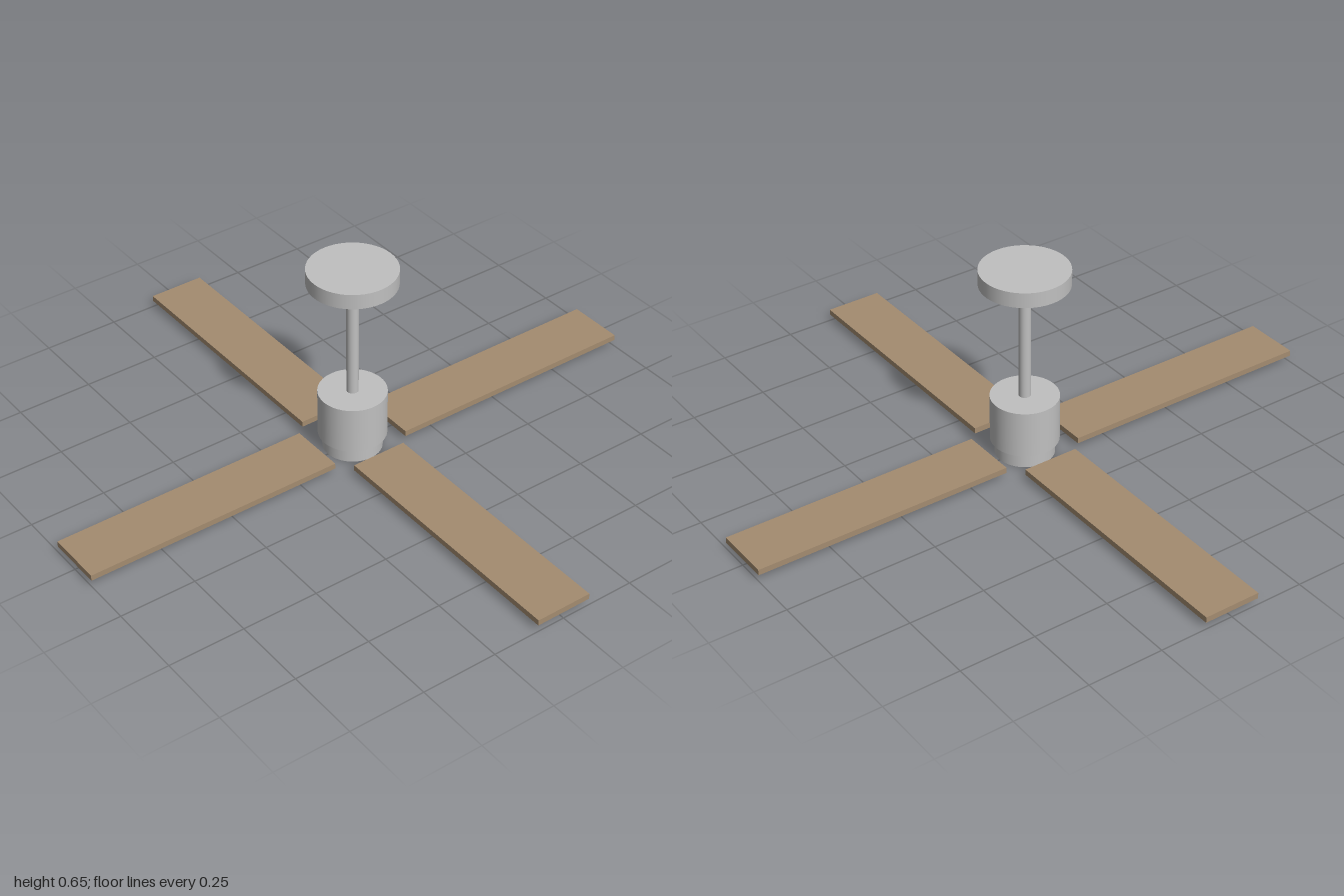
import * as THREE from 'three';

export function createModel() {
  const fan = new THREE.Group();
  fan.name = 'ceilingFan';

  const metal = new THREE.MeshStandardMaterial({ color: 0xc0c0c0 });
  metal.name = 'brushed metal';
  const wood = new THREE.MeshStandardMaterial({ color: 0xa48c70 });
  wood.name = 'light wood';

  // Upright cylinder between two heights
  function addCylinder(name, radius, bottom, top) {
    const geometry = new THREE.CylinderGeometry(radius, radius, top - bottom, 48);
    const mesh = new THREE.Mesh(geometry, metal);
    mesh.name = name;
    mesh.position.y = (bottom + top) / 2;
    fan.add(mesh);
  }

  addCylinder('lowerHub', 0.094, 0, 0.05);
  addCylinder('motorHousing', 0.108, 0.05, 0.205);
  addCylinder('downrod', 0.019, 0.205, 0.6);
  addCylinder('ceilingCanopy', 0.14, 0.6, 0.65);

  // Four flat blades around the hub
  const inner = 0.135, outer = 1;
  const bladeGeometry = new THREE.BoxGeometry(outer - inner, 0.019, 0.188);
  bladeGeometry.translate((inner + outer) / 2, 0.032, 0);
  for (let i = 0; i < 4; i++) {
    const blade = new THREE.Mesh(bladeGeometry, wood);
    blade.name = `blade${i + 1}`;
    blade.rotation.y = (i * Math.PI) / 2;
    fan.add(blade);
  }

  return fan;
}
